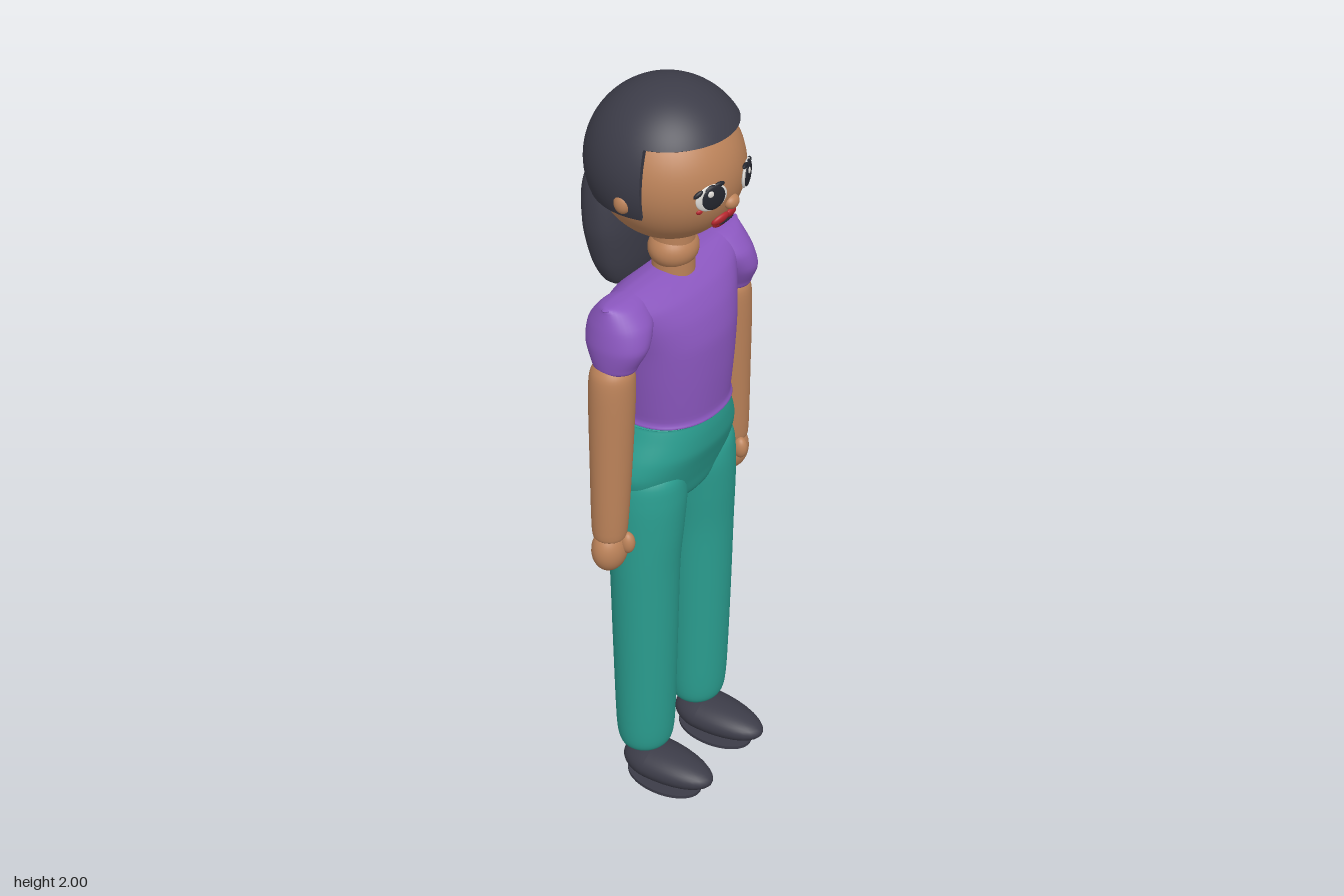
import * as THREE from 'three';

const mat = (name, color, side = THREE.FrontSide) => {
  const m = new THREE.MeshStandardMaterial({ color, side });
  m.name = name;
  return m;
};

// Smooth elliptical loft; rings run bottom to top as [y, halfWidth, halfDepth, centreX, centreZ]
function loft(rings, { power = 2, seg = 40, steps = 5 } = {}) {
  const size = new THREE.CatmullRomCurve3(rings.map(r => new THREE.Vector3(r[1], r[0], r[2])), false, 'catmullrom', 0.4);
  const mid = new THREE.CatmullRomCurve3(rings.map(r => new THREE.Vector3(r[3] || 0, 0, r[4] || 0)), false, 'catmullrom', 0.4);
  const rows = (rings.length - 1) * steps, pos = [], idx = [];
  const soft = v => Math.sign(v) * Math.abs(v) ** (2 / power);
  for (let i = 0; i <= rows; i++) {
    const s = size.getPoint(i / rows), c = mid.getPoint(i / rows);
    for (let j = 0; j < seg; j++) {
      const a = (j / seg) * Math.PI * 2;
      pos.push(c.x + Math.max(s.x, 0) * soft(Math.cos(a)), s.y, c.z + Math.max(s.z, 0) * soft(Math.sin(a)));
      if (i < rows) {
        const p = i * seg + j, q = i * seg + (j + 1) % seg;
        idx.push(p, p + seg, q, p + seg, q + seg, q);
      }
    }
  }
  const g = new THREE.BufferGeometry();
  g.setAttribute('position', new THREE.Float32BufferAttribute(pos, 3));
  g.setIndex(idx);
  g.computeVertexNormals();
  return g;
}

export function createModel() {
  const root = new THREE.Group();
  const skin = mat('skin', 0xbb8259), purple = mat('purple shirt', 0x8b57bf);
  const teal = mat('teal trousers', 0x2a9d8f), dark = mat('dark hair', 0x3c3c48, THREE.DoubleSide);
  const white = mat('eye white', 0xdedbd6), black = mat('eye black', 0x24262e), red = mat('lip red', 0xb5262e);

  const add = (name, geo, material, parent = root) => {
    const m = new THREE.Mesh(geo, material);
    m.name = name;
    parent.add(m);
    return m;
  };
  const ball = (name, material, [x, y, z], [rx, ry, rz], parent = root) => {
    const m = add(name, new THREE.SphereGeometry(1, 32, 20), material, parent);
    m.position.set(x, y, z);
    m.scale.set(rx, ry, rz);
    return m;
  };

  // Head, neck and nose
  const HR = 0.178, HY = 1.79, HZ = -0.01;
  add('head', new THREE.SphereGeometry(HR, 48, 32), skin).position.set(0, HY, HZ);
  ball('neck', skin, [0, 1.57, 0], [0.065, 0.052, 0.06]);
  add('neckCore', new THREE.CylinderGeometry(0.052, 0.052, 0.12, 32), skin).position.set(0, 1.57, 0);
  ball('nose', skin, [0, 1.743, 0.162], [0.022, 0.018, 0.017]);

  // Hair cap: short fringe in front, longer at sides and back, with closed rims
  const hair = new THREE.Group();
  hair.name = 'hair';
  hair.position.set(0, 1.805, -0.0175);
  root.add(hair);
  const R = 0.195, IN = 0.165, cut = 1.283;
  const fringe = Math.acos(0.1 / R), nape = Math.acos(-0.075 / R);
  for (const [name, az, len, theta] of [
    ['fringe', -cut, 2 * cut, fringe], ['backHair', cut, 2 * (Math.PI - cut), nape]]) {
    add(name, new THREE.SphereGeometry(R, 40, 28, Math.PI / 2 - az - len, len, 0, theta), dark, hair);
    const rim = [IN, R].map(r => new THREE.Vector2(r * Math.sin(theta), r * Math.cos(theta)));
    add(name + 'Rim', new THREE.LatheGeometry(rim, 40, az, len), dark, hair);
  }
  for (const turn of [cut - Math.PI / 2, Math.PI * 1.5 - cut]) {
    const g = new THREE.RingGeometry(IN, R, 16, 1, Math.PI / 2 - nape, nape - fringe);
    add('sideRim', g, dark, hair).rotation.y = turn;
  }
  add('hairTail', loft([
    [1.458, 0, 0, 0, -0.11], [1.463, 0.07, 0.022, 0, -0.11], [1.485, 0.108, 0.044, 0, -0.112],
    [1.54, 0.135, 0.06, 0, -0.118], [1.63, 0.152, 0.07, 0, -0.125], [1.72, 0.145, 0.068, 0, -0.133],
    [1.78, 0.12, 0.05, 0, -0.135], [1.8, 0, 0, 0, -0.135]], { power: 2.4 }), dark);

  // Small flattened features laid on the face
  const feature = (name, material, x, y, rx, ry, lift = 0, thick = 0.005, roll = 0) => {
    const dir = new THREE.Vector3(x, y - HY, Math.sqrt(HR * HR - x * x - (y - HY) ** 2)).normalize();
    const p = dir.clone().multiplyScalar(HR + lift).add(new THREE.Vector3(0, HY, HZ));
    const m = ball(name, material, p.toArray(), [rx, ry, thick]);
    m.lookAt(p.add(dir));
    m.rotateZ(roll);
    return m;
  };
  for (const s of [1, -1]) {
    feature('eyeWhite', white, s * 0.07, 1.783, 0.042, 0.034, 0.001, 0.007);
    feature('iris', black, s * 0.067, 1.784, 0.031, 0.031, 0.006, 0.006);
    feature('eyeGlint', white, s * 0.067 - 0.009, 1.797, 0.008, 0.008, 0.011, 0.003);
    for (let i = 0; i < 3; i++)
      feature('lash', black, s * (0.05 + i * 0.025), 1.812 - i * i * 0.003, 0.014, 0.006, 0.005, 0.005, -s * 0.3 * i);
    feature('cheekDot', red, s * 0.092, 1.748, 0.008, 0.006, 0, 0.004);
    feature('upperLip', red, s * 0.02, 1.702, 0.026, 0.015, 0.002, 0.01, -s * 0.25);
    // Ears
    ball('ear', skin, [s * 0.182, 1.765, -0.013], [0.018, 0.026, 0.022]);
  }
  feature('lowerLip', red, 0, 1.685, 0.032, 0.018, 0.002, 0.01);
  feature('mouthLine', black, 0, 1.695, 0.028, 0.003, 0.01, 0.004);

  // Shirt body narrows to a ridge along the shoulders
  add('shirt', loft([
    [1.14, 0, 0, 0, -0.008], [1.14, 0.148, 0.132, 0, -0.008], [1.16, 0.153, 0.136, 0, -0.008],
    [1.26, 0.167, 0.142, 0, -0.008], [1.36, 0.182, 0.141, 0, -0.008], [1.43, 0.205, 0.122, 0, -0.007],
    [1.48, 0.232, 0.092, 0, -0.006], [1.51, 0.252, 0.056, 0, -0.006], [1.524, 0.258, 0.022, 0, -0.006],
    [1.526, 0, 0, 0, -0.006]], { power: 2.2, seg: 56 }), purple);

  // Trouser hips
  add('hips', loft([
    [0.85, 0, 0, 0, -0.01], [0.865, 0.05, 0.05, 0, -0.01], [0.9, 0.13, 0.085, 0, -0.01],
    [0.95, 0.19, 0.102, 0, -0.012], [1.0, 0.207, 0.122, 0, -0.016], [1.05, 0.195, 0.136, 0, -0.014],
    [1.1, 0.172, 0.137, 0, -0.012], [1.135, 0.157, 0.132, 0, -0.01], [1.14, 0.15, 0.127, 0, -0.01],
    [1.14, 0, 0, 0, -0.01]], { power: 2.2, seg: 56 }), teal);

  for (const s of [1, -1]) {
    const side = s > 0 ? 'left' : 'right';
    // Puffed sleeve
    add(side + 'Sleeve', loft([
      [1.36, 0, 0, s * 0.236, 0], [1.356, 0.042, 0.05, s * 0.236, 0], [1.375, 0.05, 0.062, s * 0.235, 0],
      [1.42, 0.062, 0.082, s * 0.225, 0], [1.47, 0.072, 0.078, s * 0.207, -0.004],
      [1.51, 0.068, 0.048, s * 0.2, -0.006], [1.524, 0.06, 0.02, s * 0.2, -0.006],
      [1.526, 0, 0, s * 0.2, -0.006]]), purple);
    // Arm and hand
    add(side + 'Arm', loft([
      [0.87, 0, 0, s * 0.263, -0.004], [0.875, 0.034, 0.034, s * 0.263, -0.004],
      [0.9, 0.045, 0.044, s * 0.262, -0.004], [1.1, 0.054, 0.051, s * 0.252, -0.004],
      [1.28, 0.058, 0.056, s * 0.245, -0.004], [1.345, 0.053, 0.053, s * 0.242, -0.004],
      [1.375, 0.03, 0.03, s * 0.24, -0.004], [1.38, 0, 0, s * 0.24, -0.004]]), skin);
    ball(side + 'Hand', skin, [s * 0.264, 0.835, -0.004], [0.05, 0.06, 0.043]);
    ball(side + 'Thumb', skin, [s * 0.245, 0.858, 0.036], [0.018, 0.03, 0.02]);
    // Trouser leg
    add(side + 'Leg', loft([
      [0.105, 0, 0, s * 0.117, -0.004], [0.108, 0.045, 0.042, s * 0.117, -0.004],
      [0.13, 0.072, 0.066, s * 0.118, -0.004], [0.2, 0.081, 0.075, s * 0.119, -0.004],
      [0.45, 0.086, 0.082, s * 0.12, -0.003], [0.7, 0.091, 0.088, s * 0.119, -0.003],
      [0.83, 0.097, 0.098, s * 0.112, -0.005], [0.93, 0.1, 0.106, s * 0.106, -0.01],
      [1.0, 0.08, 0.1, s * 0.11, -0.02], [1.05, 0, 0, s * 0.1, -0.02]]), teal);
    // Shoe: egg with a long toe, on a thin sole
    const shoe = new THREE.SphereGeometry(1, 32, 20), p = shoe.attributes.position;
    for (let i = 0; i < p.count; i++) {
      const z = p.getZ(i);
      p.setXYZ(i, p.getX(i) * 0.07, p.getY(i) * 0.046, z * (z > 0 ? 0.175 : 0.095));
    }
    shoe.computeVertexNormals();
    add(side + 'Shoe', shoe, dark).position.set(s * 0.118, 0.057, 0.03);
    const sole = add(side + 'Sole', new THREE.CylinderGeometry(1, 1, 0.009, 40), dark);
    sole.position.set(s * 0.118, 0.0045, 0.055);
    sole.scale.set(0.066, 1, 0.11);
  }
  return root;
}
